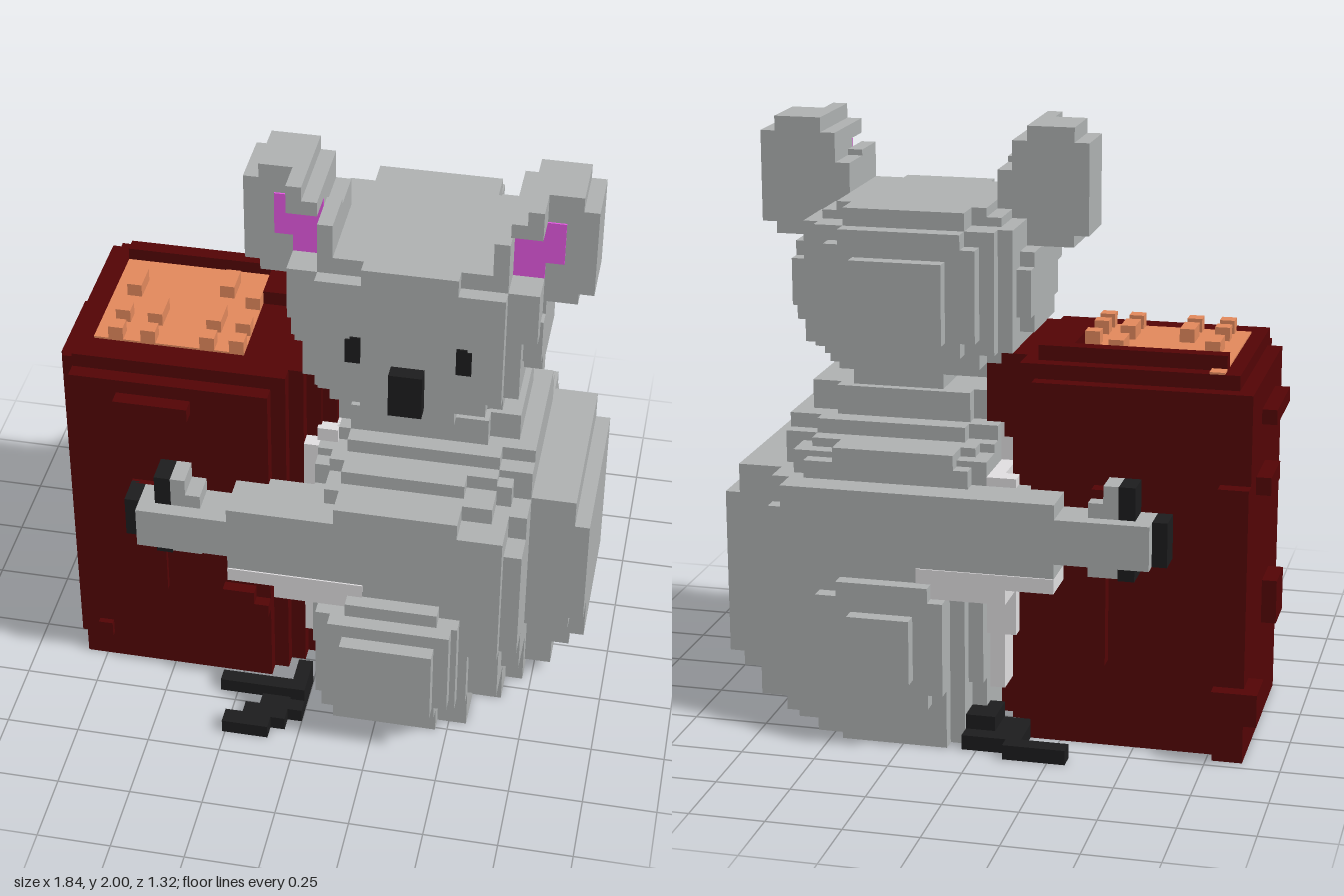
import * as THREE from 'three';
import { mergeGeometries } from 'three/addons/utils/BufferGeometryUtils.js';

const paint = (name, color) => {
  const m = new THREE.MeshStandardMaterial({ color });
  m.name = name;
  return m;
};

export function createModel() {
  const model = new THREE.Group();
  model.name = 'koalaHuggingStump';
  const fur = paint('greyFur', 0xb0b3b3);
  const pale = paint('paleFur', 0xe2e0e2);
  const black = paint('black', 0x1d1d1e);
  const bark = paint('darkRedBark', 0x540405);
  const wood = paint('orangeWood', 0xe48a5d);
  const pink = paint('pinkInnerEar', 0xe85ae6);

  // One part from blocks given as [x0, x1, y0, y1, z0, z1]
  const part = (name, mat, blocks) => {
    const mesh = new THREE.Mesh(mergeGeometries(blocks.map(([a, b, c, d, e, f]) =>
      new THREE.BoxGeometry(b - a, d - c, f - e).translate((a + b) / 2, (c + d) / 2, (e + f) / 2))), mat);
    mesh.name = name;
    model.add(mesh);
  };
  // Mirror blocks left to right about the middle of the head
  const MID = 0.305;
  const flipX = (blocks) => blocks.map(([a, b, ...r]) => [2 * MID - b, 2 * MID - a, ...r]);
  // Mirror blocks front to back about the middle of the body
  const flipZ = (blocks) => blocks.map(([a, b, c, d, e, f]) => [a, b, c, d, -0.05 - f, -0.05 - e]);

  // Body: rounded bulk that narrows at the foot
  part('body', fur, [
    [0.1, 0.46, 0, 0.87, -0.56, 0.51],
    [0.1, 0.56, 0.15, 0.87, -0.56, 0.51],
    [0.1, 0.66, 0.36, 0.87, -0.56, 0.51],
    [0.05, 0.56, 0, 0.87, -0.51, 0.46],
    [0.05, 0.66, 0.15, 0.87, -0.51, 0.46],
    [0.05, 0.72, 0.36, 0.78, -0.51, 0.46],
    [0, 0.66, 0, 0.87, -0.41, 0.31],
    [0, 0.72, 0.2, 0.87, -0.46, 0.36],
    [0, 0.72, 0, 0.87, -0.36, 0.2],
  ]);
  // Rounded back bulging to the side
  part('roundBack', fur, [
    [0.7, 0.81, 0.05, 0.87, -0.36, 0.15],
    [0.7, 0.87, 0.15, 0.87, -0.36, 0.15],
    [0.7, 0.87, 0.31, 0.87, -0.36, 0.25],
    [0.8, 0.92, 0.2, 0.77, -0.36, 0.15],
    [0.8, 0.92, 0.36, 0.77, -0.36, 0.25],
  ]);
  // Shoulders and neck
  part('shoulders', fur, [
    [0.1, 0.51, 0.86, 0.93, -0.46, 0.51],
    [0.05, 0.61, 0.86, 0.93, -0.46, 0.41],
    [0, 0.66, 0.86, 0.95, -0.41, 0.31],
    [0, 0.72, 0.86, 0.98, -0.3, 0.26],
    [0.1, 0.51, 0.86, 0.98, -0.46, 0.37],
    [0.05, 0.61, 0.86, 0.98, -0.36, 0.31],
    [0.1, 0.61, 0.97, 1.03, -0.3, 0.26],
    [0, 0.72, 0.97, 1.03, -0.25, 0.2],
    [0.1, 0.56, 1.02, 1.13, -0.23, 0.2],
    [0.05, 0.66, 1.02, 1.13, -0.18, 0.15],
    [0.2, 0.51, 1.12, 1.2, -0.2, 0.1],
  ]);
  part('belly', pale, [
    [-0.05, 0.04, 0.15, 0.9, -0.36, 0.25],
    [-0.05, 0.04, 0.87, 0.98, -0.2, 0.25],
    [-0.01, 0.06, 0.97, 1.03, -0.2, 0.22],
    [-0.1, 0.04, 0.36, 0.9, -0.41, -0.35],
  ]);

  // Legs: stepped discs on both flanks
  part('frontLeg', fur, [
    [0.05, 0.53, 0.16, 0.52, 0.5, 0.56],
    [0.15, 0.46, 0.1, 0.57, 0.5, 0.56],
    [0.1, 0.51, 0.2, 0.52, 0.55, 0.61],
    [0.15, 0.46, 0.2, 0.47, 0.6, 0.66],
  ]);
  part('backLeg', fur, [
    [0.1, 0.53, 0.2, 0.52, -0.61, -0.55],
    [0.15, 0.46, 0.15, 0.57, -0.61, -0.55],
    [0.2, 0.41, 0.25, 0.47, -0.66, -0.6],
  ]);

  // Feet
  part('frontFoot', black, [
    [-0.15, 0, 0, 0.05, 0.5, 0.56],
    [-0.2, -0.05, 0, 0.05, 0.55, 0.61],
    [-0.26, -0.1, 0, 0.05, 0.6, 0.66],
    [-0.31, 0, 0, 0.05, 0.41, 0.46],
    [-0.05, 0, 0, 0.1, 0.36, 0.51],
  ]);
  part('backFoot', black, [
    [-0.15, 0.05, 0, 0.05, -0.56, -0.37],
    [-0.31, -0.1, 0, 0.05, -0.61, -0.55],
    [-0.05, 0.05, 0.04, 0.1, -0.5, -0.36],
  ]);

  // Arms reaching around the stump
  const arm = [
    [-0.57, -0.2, 0.67, 0.82, 0.36, 0.51],
    [-0.51, -0.36, 0.62, 0.72, 0.36, 0.46],
    [-0.46, -0.41, 0.8, 0.93, 0.36, 0.46],
    [-0.42, -0.36, 0.8, 0.87, 0.36, 0.46],
    [-0.26, 0.2, 0.62, 0.87, 0.32, 0.51],
    [0.1, 0.66, 0.57, 0.87, 0.32, 0.51],
  ];
  const underside = [
    [-0.26, 0.2, 0.57, 0.62, 0.34, 0.515],
    [-0.1, 0.15, 0.52, 0.575, 0.36, 0.515],
  ];
  const claws = [
    [-0.62, -0.57, 0.67, 0.82, 0.36, 0.46],
    [-0.515, -0.46, 0.81, 0.93, 0.36, 0.46],
    [-0.515, -0.46, 0.615, 0.67, 0.36, 0.465],
  ];
  for (const [side, place] of [['front', (b) => b], ['back', flipZ]]) {
    part(side + 'Arm', fur, place(arm));
    part(side + 'ArmUnderside', pale, place(underside));
    part(side + 'Claws', black, place(claws));
  }

  // Head: stepped inward toward every edge, with a bump at the back
  part('head', fur, [
    [0.15, 0.46, 1.18, 1.75, -0.2, 0.31],
    [0.05, 0.56, 1.18, 1.75, -0.2, 0.2],
    [0.1, 0.51, 1.23, 1.75, -0.3, 0.26],
    [0.05, 0.56, 1.23, 1.69, -0.3, 0.31],
    [0, 0.61, 1.23, 1.72, -0.2, 0.26],
    [0, 0.61, 1.28, 1.69, -0.3, 0.31],
    [-0.05, 0.66, 1.28, 1.69, -0.25, 0.26],
    [-0.1, 0.72, 1.33, 1.6, -0.15, 0.15],
    [-0.1, 0.72, 1.39, 1.55, -0.2, 0.2],
    [0.1, 0.51, 1.28, 1.69, -0.36, 0],
    [0.05, 0.56, 1.33, 1.64, -0.36, 0],
    [0.15, 0.46, 1.33, 1.6, -0.41, 0],
  ]);
  part('nose', black, [[0.25, 0.36, 1.23, 1.39, 0.3, 0.36]]);
  const eye = [[0.1, 0.15, 1.39, 1.48, 0.309, 0.315], [0.115, 0.15, 1.47, 1.49, 0.309, 0.315]];

  // Ears: stepped shell, with a forward rim around the pink hollow
  const ear = [
    [-0.21, -0.05, 1.9, 2, -0.05, 0.15],
    [-0.26, 0, 1.64, 1.95, -0.05, 0.15],
    [-0.21, 0.05, 1.6, 1.85, -0.05, 0.15],
    [-0.1, 0.1, 1.5, 1.69, -0.05, 0.26],
    [0, 0.1, 1.65, 1.75, -0.05, 0.26],
    [-0.1, -0.05, 1.9, 2, 0.1, 0.26],
    [-0.1, 0, 1.9, 1.95, 0.1, 0.26],
    [0, 0.05, 1.69, 1.87, 0.1, 0.26],
  ];
  const hollow = [
    [-0.16, 0, 1.75, 1.9, 0.148, 0.156],
    [-0.1, 0, 1.69, 1.76, 0.148, 0.156],
  ];
  for (const [side, place] of [['right', (b) => b], ['left', flipX]]) {
    part(side + 'Ear', fur, place(ear));
    part(side + 'InnerEar', pink, place(hollow));
    part(side + 'Eye', black, place(eye));
  }

  // Stump with stepped edges and the bulge under the chin
  part('stump', bark, [
    [-0.87, -0.1, 0, 1.23, -0.36, 0.25],
    [-0.87, -0.15, 0, 1.23, -0.41, 0.25],
    [-0.82, -0.15, 0, 1.23, -0.41, 0.35],
    [-0.82, -0.1, 0, 1.28, -0.36, 0.3],
    [-0.12, -0.05, 0, 1.28, -0.25, 0.25],
    [-0.12, 0, 0, 1.28, -0.2, 0.2],
    [-0.1, 0.05, 1.03, 1.23, -0.2, 0.18],
    [-0.77, -0.15, 1.27, 1.33, -0.31, -0.26],
    [-0.26, -0.15, 1.27, 1.33, -0.31, -0.1],
  ]);
  part('barkRidges', bark, [
    [-0.92, -0.86, 1.08, 1.13, -0.2, 0.1],
    [-0.92, -0.86, 0.87, 0.93, -0.3, -0.1],
    [-0.92, -0.86, 0.36, 0.51, -0.1, 0.05],
    [-0.92, -0.77, 0.15, 0.26, -0.51, -0.36],
    [-0.87, -0.77, 0, 0.93, -0.46, -0.4],
    [-0.41, -0.36, 0.3, 0.9, -0.46, -0.4],
    [-0.66, -0.41, 1.13, 1.18, 0.34, 0.4],
    [-0.62, -0.51, 0.36, 0.82, 0.34, 0.37],
    [-0.77, -0.72, 0.1, 0.16, 0.34, 0.37],
    [-0.31, -0.2, 0.36, 0.41, 0.34, 0.39],
    [-0.2, -0.15, 0.31, 0.36, 0.34, 0.39],
  ]);

  // Cut wood on top with splinters in four rows
  part('cutWood', wood, [
    [-0.77, -0.26, 1.279, 1.287, -0.26, 0.2],
    [-0.77, -0.72, 1.279, 1.287, -0.36, -0.31],
  ]);
  const rows = [[-0.72, [-0.15, -0.1, 0.05, 0.15]], [-0.61, [0, 0.05, 0.15]],
    [-0.41, [-0.2, -0.15, 0, 0.05, 0.15]], [-0.31, [-0.1, 0.05, 0.15]]];
  part('splinters', wood, rows.flatMap(([x, zs]) =>
    zs.map((z) => [x, x + 0.05, 1.27, 1.333, z, z + 0.05])));

  return model;
}
